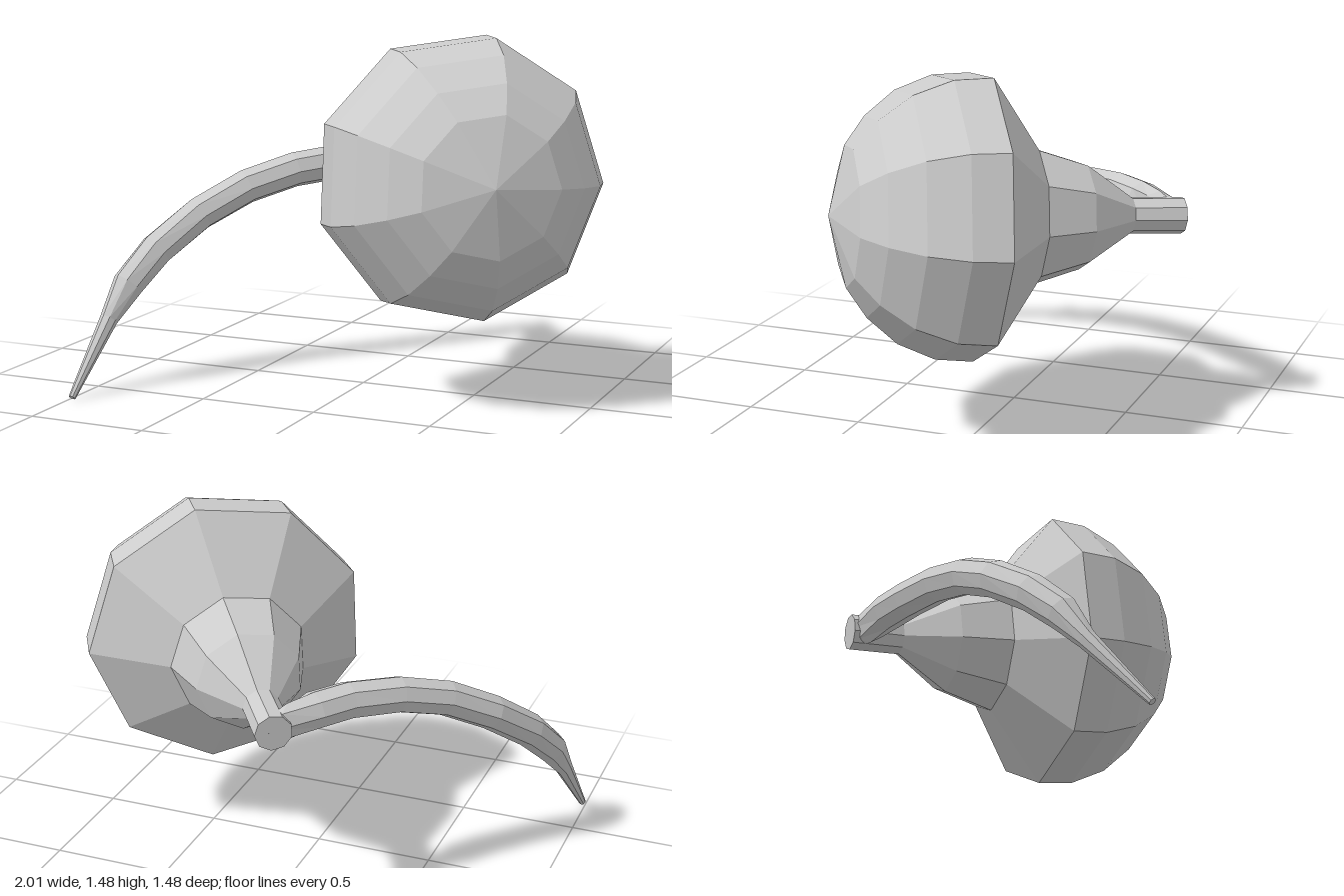
import * as THREE from 'three';

const SIDES = 9;
const material = new THREE.MeshStandardMaterial({ color: 0xcccccc, flatShading: true });

// Faceted skin over rings given as [x, y, z, radius]; closed by a fan at both ends.
function taperedTube(rings, sides, firstDirection) {
  const up = new THREE.Vector3(0, 1, 0);
  const centers = rings.map(([x, y, z]) => new THREE.Vector3(x, y, z));
  const last = rings.length - 1;
  const positions = [];
  const indices = [];

  const addRing = (i, radius) => {
    const direction = i < 2
      ? firstDirection
      : centers[Math.min(i + 1, last)].clone().sub(centers[i - 1]).normalize();
    const side = new THREE.Vector3().crossVectors(direction, up).normalize();
    const top = new THREE.Vector3().crossVectors(side, direction);
    for (let j = 0; j < sides; j++) {
      const a = (j / sides) * Math.PI * 2;
      const p = centers[i].clone()
        .addScaledVector(side, Math.cos(a) * radius)
        .addScaledVector(top, Math.sin(a) * radius);
      positions.push(p.x, p.y, p.z);
    }
  };

  addRing(0, 0);
  rings.forEach((ring, i) => addRing(i, ring[3]));
  addRing(last, 0);

  for (let i = 0; i < rings.length + 1; i++) {
    for (let j = 0; j < sides; j++) {
      const a = i * sides + j;
      const b = i * sides + (j + 1) % sides;
      indices.push(a, a + sides, b, b, a + sides, b + sides);
    }
  }
  const geometry = new THREE.BufferGeometry();
  geometry.setAttribute('position', new THREE.Float32BufferAttribute(positions, 3));
  geometry.setIndex(indices);
  geometry.computeVertexNormals();
  return geometry;
}

// Domed head, flared neck and narrow stem, turned around one tilted axis.
function createHead() {
  const profile = [
    [0, -0.86], [0.076, -0.86], [0.075, -0.64], [0.22, -0.43], [0.285, -0.22],
    [0.59, 0], [0.578, 0.155], [0.512, 0.31], [0.405, 0.435], [0.285, 0.52], [0, 0.595],
  ].map(([r, y]) => new THREE.Vector2(r, y));
  const geometry = new THREE.LatheGeometry(profile, SIDES, THREE.MathUtils.degToRad(87));

  const axis = new THREE.Vector3(0.58, 0.065, 0.81).normalize();
  const side = new THREE.Vector3(0.81, 0, -0.58).normalize();
  const back = new THREE.Vector3().crossVectors(side, axis);
  geometry.applyMatrix4(new THREE.Matrix4().makeBasis(side, axis, back));
  geometry.translate(0.412, 0.911, 0);

  const head = new THREE.Mesh(geometry, material);
  head.name = 'headAndStem';
  return head;
}

// Arched tail that leaves the stem end and drops to a thin tip on the ground.
function createTail() {
  const rings = [
    [-0.07, 0.858, -0.65, 0.062],
    [-0.105, 0.865, -0.6, 0.078],
    [-0.18, 0.883, -0.5, 0.077],
    [-0.27, 0.887, -0.38, 0.077],
    [-0.42, 0.863, -0.21, 0.076],
    [-0.57, 0.803, -0.05, 0.075],
    [-0.72, 0.698, 0.1, 0.074],
    [-0.84, 0.56, 0.27, 0.073],
    [-0.905, 0.43, 0.4, 0.067],
    [-0.945, 0.295, 0.495, 0.038],
    [-0.985, 0.012, 0.73, 0.015],
  ];
  const tail = new THREE.Mesh(taperedTube(rings, 8, new THREE.Vector3(-1, 0, 0)), material);
  tail.name = 'tail';
  return tail;
}

export function createModel() {
  const model = new THREE.Group();
  model.name = 'model';
  model.add(createHead(), createTail());
  return model;
}
